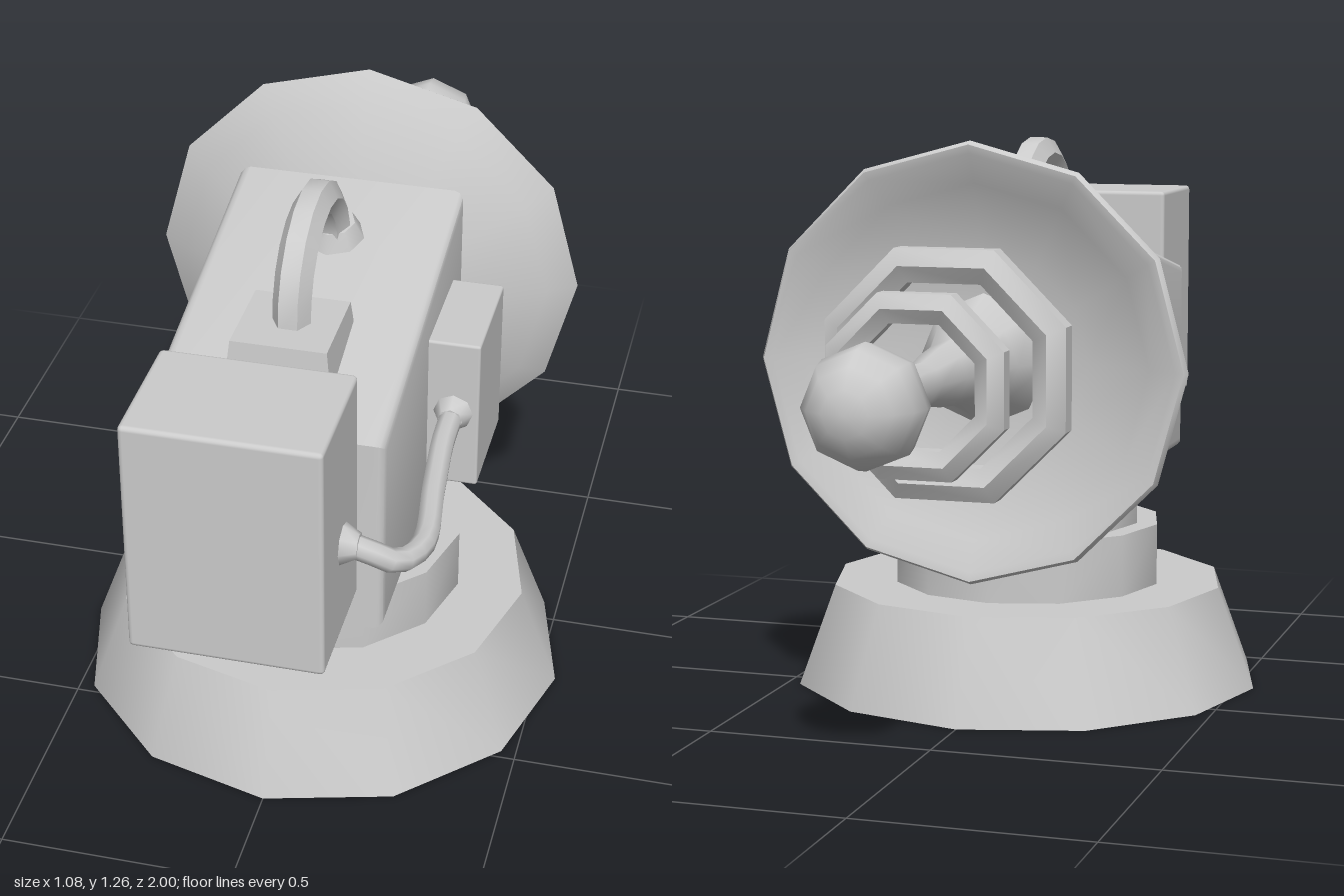
import * as THREE from 'three';
import { toCreasedNormals } from 'three/addons/utils/BufferGeometryUtils.js';
import { RoundedBoxGeometry } from 'three/addons/geometries/RoundedBoxGeometry.js';

const AXIS_Y = 0.78; // height of the dish axis
const BASE_Z = 0.21; // centre of the pedestal

const grey = new THREE.MeshStandardMaterial({ color: 0xcccccc });
const greyDouble = new THREE.MeshStandardMaterial({ color: 0xcccccc, side: THREE.DoubleSide });

const creased = (geometry, angle = 0.62) => toCreasedNormals(geometry, angle);

const lathe = (points, segments, start = 0, length = Math.PI * 2) =>
  new THREE.LatheGeometry(points.map(([r, y]) => new THREE.Vector2(r, y)), segments, start, length);

// Ring with a hexagonal section whose flat sides face in and out
function hexRing(radius, tube, segments, start, length) {
  const points = [];
  for (let i = 0; i <= 6; i++) {
    const a = -Math.PI / 6 + (i % 6) * Math.PI / 3;
    points.push([radius + tube * Math.cos(a), tube * Math.sin(a)]);
  }
  return lathe(points, segments, start, length);
}

export function createModel() {
  const model = new THREE.Group();

  function add(name, geometry, x = 0, y = 0, z = 0, material = grey) {
    const mesh = new THREE.Mesh(geometry, material);
    mesh.name = name;
    mesh.position.set(x, y, z);
    model.add(mesh);
    return mesh;
  }
  const box = (name, w, h, d, r, x, y, z) =>
    add(name, new RoundedBoxGeometry(w, h, d, 2, r), x, y, z);

  // Pedestal: hollow flared skirt and two drums
  add('baseSkirt', creased(lathe([[0.54, 0], [0.455, 0.23], [0, 0.23]], 12)), 0, 0, BASE_Z, greyDouble);
  add('lowerDrum', creased(new THREE.CylinderGeometry(0.31, 0.31, 0.14, 12)), 0, 0.3, BASE_Z);
  add('upperDrum', creased(new THREE.CylinderGeometry(0.262, 0.262, 0.13, 12)), 0, 0.435, BASE_Z);

  // Wedge-shaped body, profile drawn in (-z, y)
  const profile = new THREE.Shape([
    [-0.705, 0.475], [0.06, 0.475], [0.06, 1.078], [-0.705, 0.925],
  ].map(([u, y]) => new THREE.Vector2(u, y)));
  const bevel = 0.022;
  const bodyGeometry = new THREE.ExtrudeGeometry(profile, {
    depth: 0.5 - 2 * bevel, bevelThickness: bevel, bevelSize: bevel, bevelOffset: -bevel, bevelSegments: 3,
  });
  bodyGeometry.translate(0, 0, bevel - 0.25).rotateY(Math.PI / 2);
  add('body', creased(bodyGeometry));

  // Front housing with its short neck, and the side housing
  box('frontNeck', 0.35, 0.4, 0.08, 0.01, 0, 0.73, 0.71);
  box('frontHousing', 0.395, 0.52, 0.28, 0.01, 0.003, 0.84, 0.86);
  box('sideHousing', 0.13, 0.35, 0.255, 0.006, 0.295, 0.745, 0.17);

  // Cable from the front housing to the side housing
  const path = new THREE.CatmullRomCurve3([
    [0.19, 0.79, 0.845], [0.24, 0.78, 0.842], [0.3, 0.745, 0.82], [0.335, 0.73, 0.74],
    [0.318, 0.735, 0.55], [0.305, 0.745, 0.4], [0.305, 0.75, 0.29],
  ].map((p) => new THREE.Vector3(...p)));
  add('cable', new THREE.TubeGeometry(path, 18, 0.025, 8));
  const plug = () => creased(new THREE.CylinderGeometry(0.026, 0.044, 0.035, 8), 0.9);
  add('frontPlug', plug().rotateZ(-Math.PI / 2), 0.216, 0.788, 0.845);
  add('sidePlug', plug().rotateX(Math.PI / 2), 0.305, 0.75, 0.312);

  // Carrying handle with a block foot in front and a collar behind
  const handle = hexRing(0.17, 0.04, 10, -0.1, Math.PI + 0.2).rotateZ(Math.PI / 2);
  add('handle', creased(handle), 0.004, 1.043, 0.305);
  const foot = new THREE.CylinderGeometry(0.1 * Math.SQRT2, 0.113 * Math.SQRT2, 0.12, 4, 1, false, Math.PI / 4);
  add('handleFoot', creased(foot), 0.002, 0.98, 0.475);
  const collar = add('handleCollar', creased(new THREE.CylinderGeometry(0.048, 0.073, 0.055, 8), 0.9), 0.004, 1.054, 0.125);
  collar.rotation.x = 0.195;

  // Dish, antenna stem, rings and tip all turn about the rear axis
  const rear = (geometry) => geometry.rotateX(-Math.PI / 2);
  const dish = lathe([
    [0, 0.065], [0.1, 0.068], [0.25, 0.1], [0.42, 0.178], [0.482, 0.222], [0.474, 0.236],
    [0.455, 0.232], [0.39, 0.195], [0.24, 0.135], [0.11, 0.125], [0, 0.125],
  ], 12);
  add('dish', creased(rear(dish), 0.9), 0, AXIS_Y);
  const stem = lathe([
    [0.15, 0.12], [0.108, 0.22], [0.073, 0.33], [0.063, 0.43], [0.045, 0.54],
    [0.048, 0.61], [0.041, 0.72], [0.05, 0.78],
  ], 8);
  add('antennaStem', rear(stem), 0, AXIS_Y);
  for (const [name, radius, tube, z] of [
    ['largeRing', 0.248, 0.045, -0.38], ['smallRing', 0.173, 0.0385, -0.573],
  ]) {
    add(name, creased(rear(hexRing(radius, tube, 8, Math.PI / 8))), 0, AXIS_Y, z);
  }
  add('antennaTip', rear(new THREE.SphereGeometry(0.126, 8, 8)), 0, AXIS_Y, -0.874);

  return model;
}
